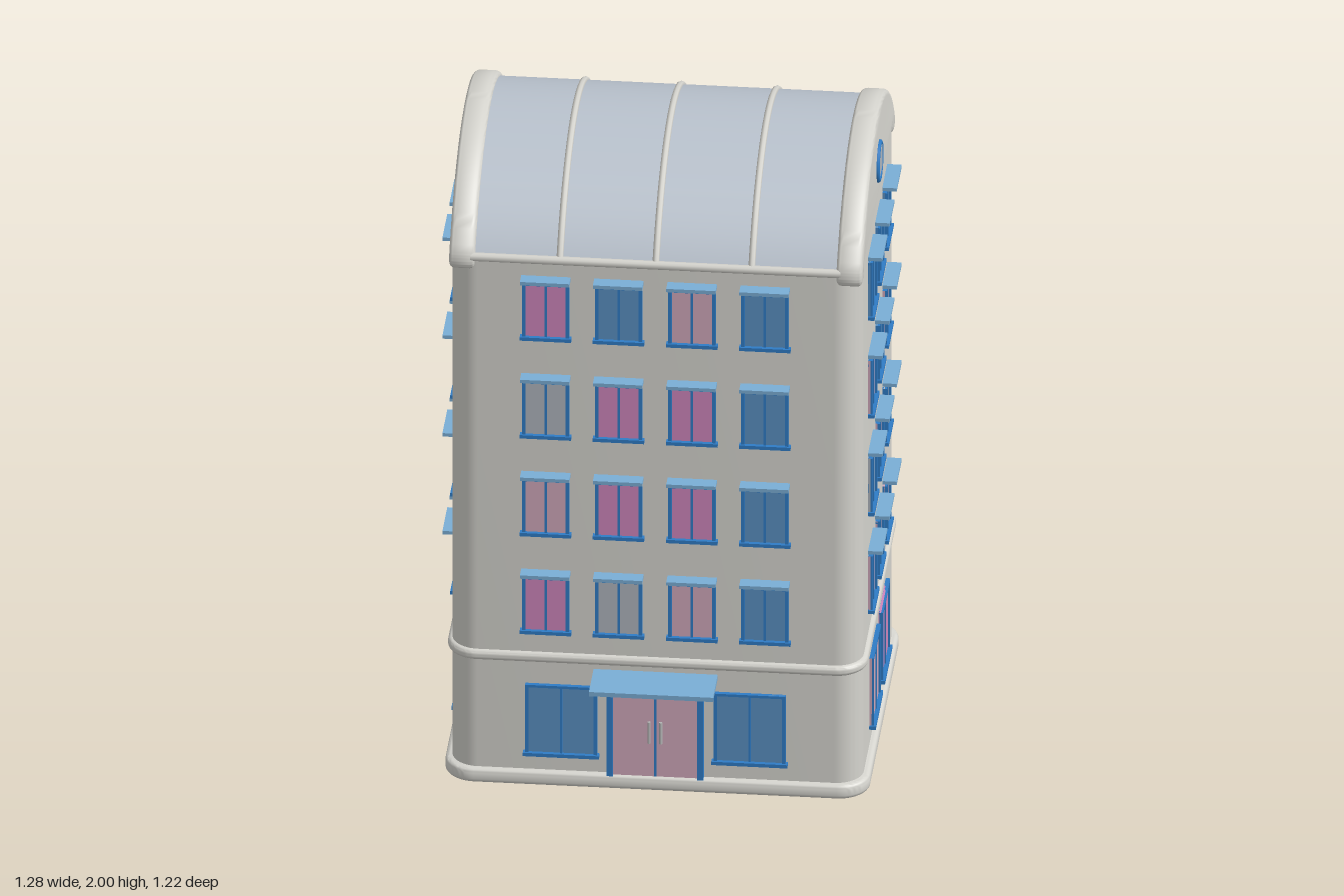
import * as THREE from 'three';
import { toCreasedNormals } from 'three/addons/utils/BufferGeometryUtils.js';

const paint = (name, color) => {
  const m = new THREE.MeshStandardMaterial({ color });
  m.name = name;
  return m;
};

export function createModel() {
  const wall = paint('plaster', 0xd5d4ce), roofMat = paint('roof metal', 0xb9c2cd);
  const canopyMat = paint('light blue canopy', 0x7aaed6), frameMat = paint('blue frame', 0x2f7cc6);
  const metal = paint('grey metal', 0xb4b5b5);
  const glass = {
    b: paint('blue glass', 0x5a90c2), g: paint('grey glass', 0xafb5bd),
    p: paint('pale pink glass', 0xd0a8ba), m: paint('magenta glass', 0xce86bc),
  };
  const model = new THREE.Group();
  model.name = 'apartmentBuilding';
  const house = new THREE.Group();
  house.name = 'house';
  house.position.z = -0.017;
  model.add(house);

  const add = (parent, name, geo, mat, x = 0, y = 0, z = 0) => {
    const mesh = new THREE.Mesh(geo, mat);
    mesh.name = name;
    mesh.position.set(x, y, z);
    parent.add(mesh);
    return mesh;
  };
  const box = (parent, name, mat, w, h, d, x, y, z) =>
    add(parent, name, new THREE.BoxGeometry(w, h, d), mat, x, y, z);

  // Horizontal slab with rounded corners and optional softened edges
  const slab = (name, hx, hz, r, y0, y1, bevel) => {
    const s = new THREE.Shape();
    s.moveTo(-hx + r, -hz);
    s.lineTo(hx - r, -hz);
    s.absarc(hx - r, -hz + r, r, -Math.PI / 2, 0);
    s.lineTo(hx, hz - r);
    s.absarc(hx - r, hz - r, r, 0, Math.PI / 2);
    s.lineTo(-hx + r, hz);
    s.absarc(-hx + r, hz - r, r, Math.PI / 2, Math.PI);
    s.lineTo(-hx, -hz + r);
    s.absarc(-hx + r, -hz + r, r, Math.PI, Math.PI * 1.5);
    const geo = new THREE.ExtrudeGeometry(s, {
      depth: y1 - y0 - 2 * bevel, curveSegments: 8, bevelEnabled: bevel > 0,
      bevelThickness: bevel, bevelSize: bevel, bevelOffset: -bevel, bevelSegments: 4,
    });
    geo.translate(0, 0, bevel).rotateX(-Math.PI / 2);
    add(house, name, toCreasedNormals(geo, 0.7), wall, 0, y0, 0);
  };
  const HX = 0.6, HZ = 0.487;
  slab('walls', HX, HZ, 0.08, 0.02, 1.74, 0);
  slab('plinth', 0.62, 0.507, 0.09, 0, 0.046, 0.014);
  slab('beltMoulding', 0.613, 0.5, 0.09, 0.402, 0.435, 0.014);

  // Barrel roof
  const CY = 1.396, R = 0.589, half = Math.asin(0.485 / R);
  const arch = new THREE.Shape();
  arch.absarc(0, CY, R, Math.PI / 2 - half, Math.PI / 2 + half);
  arch.closePath();
  const roofGeo = new THREE.ExtrudeGeometry(arch, { depth: 1.08, curveSegments: 40, bevelEnabled: false });
  roofGeo.translate(0, 0, -0.54).rotateY(Math.PI / 2);
  add(house, 'barrelRoof', toCreasedNormals(roofGeo, 0.5), roofMat);

  // Roof ribs and eave rods
  for (const x of [-0.28, 0, 0.28]) {
    const rib = new THREE.TorusGeometry(R, 0.01, 8, 40, half * 2);
    rib.rotateZ(Math.PI / 2 - half).rotateY(Math.PI / 2);
    add(house, 'roofRib', rib, wall, x, CY, 0);
  }
  for (const s of [-1, 1]) {
    const rod = new THREE.CylinderGeometry(0.013, 0.013, 1.08, 10).rotateZ(Math.PI / 2);
    add(house, 'eaveRod', rod, wall, 0, 1.732, s * 0.485);
  }

  // Gable ends: thick arches with rounded feet at the corners
  const GR = 0.604, ga = Math.asin(0.492 / GR);
  const gable = new THREE.Shape();
  gable.absarc(0, CY, GR, Math.PI / 2 - ga, Math.PI / 2 + ga);
  gable.quadraticCurveTo(-0.512, 1.69, -0.465, 1.688);
  gable.quadraticCurveTo(-0.43, 1.69, -0.42, 1.73);
  gable.lineTo(0.42, 1.73);
  gable.quadraticCurveTo(0.43, 1.69, 0.465, 1.688);
  gable.quadraticCurveTo(0.512, 1.69, 0.492, CY + GR * Math.cos(ga));
  const gableGeo = new THREE.ExtrudeGeometry(gable, {
    depth: 0.044, curveSegments: 24, bevelThickness: 0.016, bevelSize: 0.016, bevelOffset: -0.016, bevelSegments: 4,
  });
  gableGeo.translate(0, 0, -0.022).rotateY(Math.PI / 2);
  const gableSmooth = toCreasedNormals(gableGeo, 0.7);
  for (const s of [-1, 1]) add(house, 'gableEnd', gableSmooth, wall, s * 0.565, 0, 0);

  // Framed window with a sill, a centre bar and optional canopy
  const addWindow = (face, d, x, y, w, h, kind, canopy) => {
    const g = new THREE.Group();
    g.name = 'window';
    g.position.set(x, y, d);
    face.add(g);
    box(g, 'pane', glass[kind], w, h, 0.008, 0, 0, 0.003);
    for (const s of [-1, 1]) box(g, 'frameSide', frameMat, 0.01, h, 0.018, s * (w / 2 - 0.005), 0, 0.004);
    box(g, 'frameTop', frameMat, w, 0.008, 0.018, 0, h / 2 - 0.004, 0.004);
    box(g, 'centreBar', frameMat, 0.007, h, 0.014, 0, 0, 0.004);
    box(g, 'sill', frameMat, w + 0.012, 0.011, 0.026, 0, -h / 2 - 0.002, 0.006);
    if (canopy) box(g, 'windowCanopy', canopyMat, w + 0.006, 0.011, 0.05, 0, h / 2 + 0.014, 0.017);
  };

  // Each wall: pane colours listed top row first, left to right from outside
  const four = [-0.32, -0.107, 0.107, 0.32], three = [-0.212, 0, 0.212];
  const walls = [
    { name: 'frontWall', turn: 0, d: HZ, cols: four, rows: ['mbpb', 'gmmb', 'pmmb', 'mgpb'], low: [-0.275, 0.275], lowKinds: 'bb' },
    { name: 'backWall', turn: Math.PI, d: HZ, cols: four, rows: ['ggbb', 'pbbp', 'gmpm', 'ggbb'], low: [-0.27, 0, 0.27], lowKinds: 'gpp' },
    { name: 'leftWall', turn: Math.PI / 2, d: HX, cols: three, rows: ['bbb', 'pbp', 'gpg', 'ppp'], low: [-0.138, 0.138], lowKinds: 'pm' },
    { name: 'rightWall', turn: -Math.PI / 2, d: HX, cols: three, rows: ['pbb', 'pbp', 'pbb', 'bbb'], low: [-0.138, 0.138], lowKinds: 'bb' },
  ];
  for (const w of walls) {
    const face = new THREE.Group();
    face.name = w.name;
    face.rotation.y = w.turn;
    house.add(face);
    w.rows.forEach((row, i) => w.cols.forEach((x, j) =>
      addWindow(face, w.d, x, 1.57 - i * 0.324, 0.138, 0.18, row[j], true)));
    w.low.forEach((x, j) => addWindow(face, w.d, x, 0.217, 0.21, 0.226, w.lowKinds[j], false));

    // Round gable window on the two end walls
    if (w.d === HX) {
      const disc = new THREE.CylinderGeometry(0.056, 0.056, 0.024, 32).rotateX(Math.PI / 2);
      add(face, 'roundWindow', disc, glass.b, 0, 1.845, 0.594);
      add(face, 'roundFrame', new THREE.TorusGeometry(0.056, 0.008, 8, 32), frameMat, 0, 1.845, 0.604);
      box(face, 'roundPane', glass.g, 0.072, 0.072, 0.006, 0, 1.845, 0.607);
    }
  }

  // Entrance: double door, frame, handles and canopy
  const door = new THREE.Group();
  door.name = 'entrance';
  door.position.z = HZ;
  house.add(door);
  for (const s of [-1, 1]) {
    box(door, 'doorLeaf', glass.p, 0.122, 0.29, 0.014, s * 0.0625, 0.19, 0.003);
    box(door, 'doorJamb', frameMat, 0.018, 0.31, 0.034, s * 0.132, 0.2, 0.005);
    const handle = new THREE.CylinderGeometry(0.005, 0.005, 0.07, 8);
    add(door, 'doorHandle', handle, metal, s * 0.017, 0.197, 0.024);
    for (const y of [0.172, 0.222]) box(door, 'handleMount', metal, 0.006, 0.006, 0.02, s * 0.017, y, 0.014);
  }
  box(door, 'doorHead', frameMat, 0.282, 0.018, 0.034, 0, 0.346, 0.005);
  box(door, 'doorSplit', frameMat, 0.006, 0.29, 0.014, 0, 0.19, 0.004);
  box(door, 'entranceCanopy', canopyMat, 0.362, 0.014, 0.15, 0, 0.379, 0.065);

  // Outdoor unit on the back wall
  box(house, 'outdoorUnit', metal, 0.14, 0.095, 0.09, 0.352, 0.098, -0.548);
  box(house, 'unitBracket', metal, 0.08, 0.02, 0.06, 0.352, 0.07, -0.5);

  return model;
}
